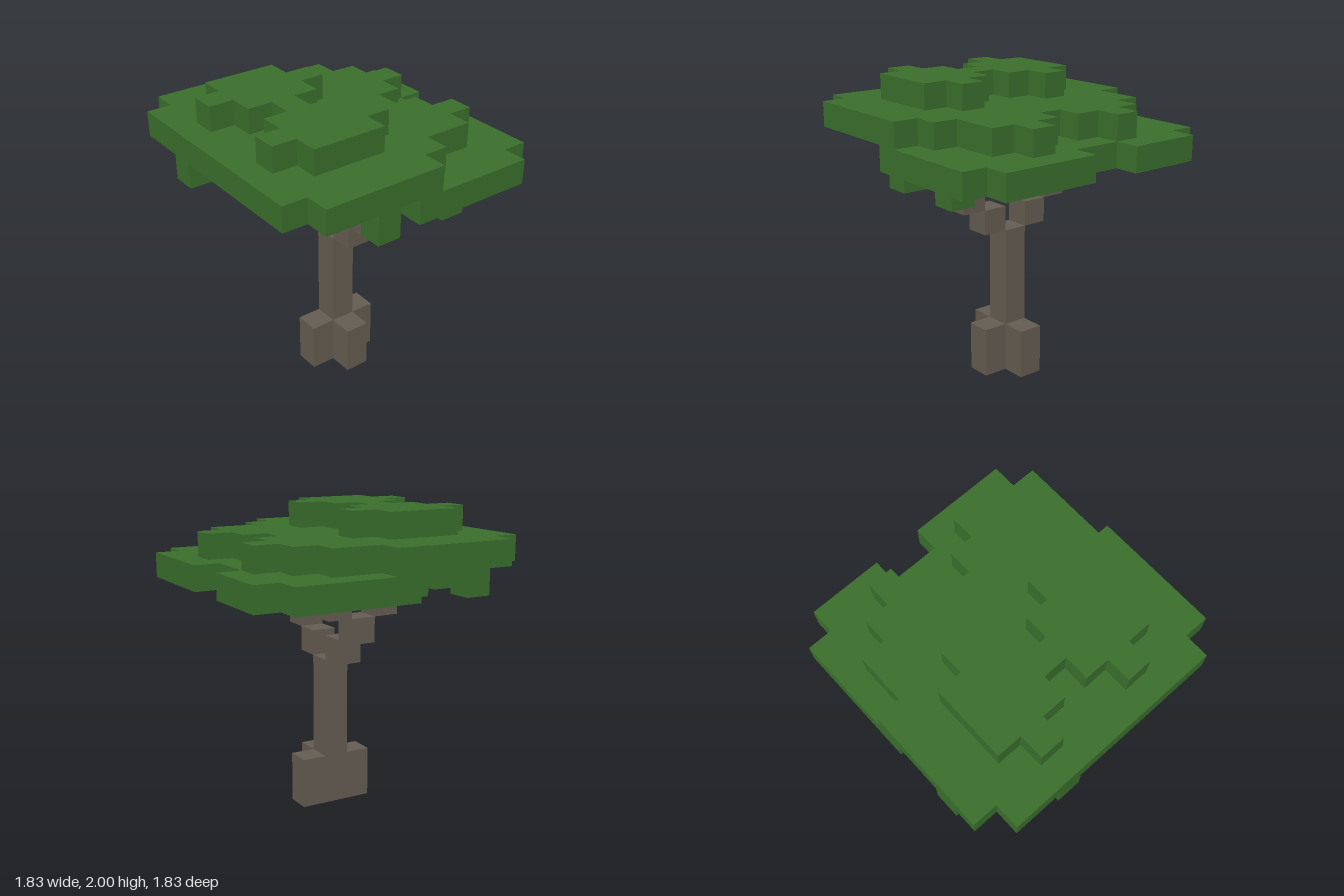
import * as THREE from 'three';

const V = 1 / 6; // edge of one block; blocks are centred on whole x and z steps
const bark = new THREE.MeshStandardMaterial({ color: 0x655d52 });
bark.name = 'bark brown';
const leaf = new THREE.MeshStandardMaterial({ color: 0x3b702d });
leaf.name = 'leaf green';

// A solid run of blocks between two corners, inclusive
function run(x0, x1, y0, y1, z0, z1) {
  const out = [];
  for (let x = x0; x <= x1; x++)
    for (let y = y0; y <= y1; y++)
      for (let z = z0; z <= z1; z++) out.push([x, y, z]);
  return out;
}

// A flat layer from rows of [z, first x, last x]
const layer = (y, rows) => rows.flatMap(([z, a, b]) => run(a, b, y, y, z, z));

const mirrorZ = (cells) => cells.concat(cells.map(([x, y, z]) => [x, y, -z]));

// Each face: outward normal and two edge directions with u x v = normal
const FACES = [
  [[1, 0, 0], [0, 1, 0], [0, 0, 1]], [[-1, 0, 0], [0, 0, 1], [0, 1, 0]],
  [[0, 1, 0], [0, 0, 1], [1, 0, 0]], [[0, -1, 0], [1, 0, 0], [0, 0, 1]],
  [[0, 0, 1], [1, 0, 0], [0, 1, 0]], [[0, 0, -1], [0, 1, 0], [1, 0, 0]],
];

// Builds only the block faces that are not covered by a neighbour
function blocks(cells, filled) {
  const pos = [], nor = [], idx = [];
  for (const c of cells) {
    for (const [n, u, v] of FACES) {
      if (filled.has(c.map((a, i) => a + n[i]).join())) continue;
      const first = pos.length / 3;
      for (const [s, t] of [[-1, -1], [1, -1], [1, 1], [-1, 1]]) {
        const p = c.map((a, i) => a + (n[i] + s * u[i] + t * v[i]) / 2);
        pos.push(p[0] * V, (p[1] + 0.5) * V, p[2] * V);
        nor.push(...n);
      }
      idx.push(first, first + 1, first + 2, first, first + 2, first + 3);
    }
  }
  const g = new THREE.BufferGeometry();
  g.setAttribute('position', new THREE.Float32BufferAttribute(pos, 3));
  g.setAttribute('normal', new THREE.Float32BufferAttribute(nor, 3));
  g.setIndex(idx);
  return g;
}

export function createModel() {
  const parts = [
    // Trunk with three short roots
    ['trunk', bark, run(0, 0, 0, 5, 0, 0)],
    ['roots', bark, [...run(-1, -1, 0, 1, 0, 0), ...run(1, 1, 0, 1, 0, 0), ...run(0, 0, 0, 1, 1, 1)]],
    // Limbs fork to front and back, then to both sides
    ['branches', bark, mirrorZ([
      [0, 6, 1], [0, 7, 2], [1, 8, 2], [-1, 8, 2], [2, 9, 2], [-2, 9, 2],
    ])],
    // Loose leaves hanging under the canopy
    ['hangingLeaves', leaf, [
      [2, 8, 4], [-1, 8, 4], [0, 8, 1], [-1, 8, 0],
      [-5, 9, -2], [-4, 9, 0], [-3, 9, -3], [-3, 9, -5],
    ]],
    // Three stacked canopy layers
    ['lowerCanopy', leaf, layer(9, [
      [-5, 0, 4], [-4, -1, 5], [-3, -1, 5], [-2, -1, 5], [-1, -1, 4], [0, -1, 4],
      [1, -1, 5], [2, -1, 5], [3, -1, 5], [4, -1, 5], [5, 0, 4],
    ])],
    ['middleCanopy', leaf, layer(10, [
      [-5, -4, 0], [-4, -5, 2], [-3, -5, 3], [-2, -5, 4], [-1, -5, 3], [0, -5, 2],
      [1, -5, 3], [2, -5, 4], [3, -5, 3], [4, -5, 1], [5, -4, 0],
    ])],
    ['upperCanopy', leaf, [
      ...mirrorZ(layer(11, [[1, -3, -1], [2, -4, 0], [3, -3, -1]])), [-2, 11, 0],
    ]],
  ];

  // Where two parts claim the same block, the earlier one keeps it
  const filled = new Set();
  for (const part of parts) {
    part[2] = part[2].filter((c) => !filled.has(c.join()));
    part[2].forEach((c) => filled.add(c.join()));
  }

  const tree = new THREE.Group();
  tree.name = 'tree';
  for (const [name, material, cells] of parts) {
    const mesh = new THREE.Mesh(blocks(cells, filled), material);
    mesh.name = name;
    tree.add(mesh);
  }
  return tree;
}
